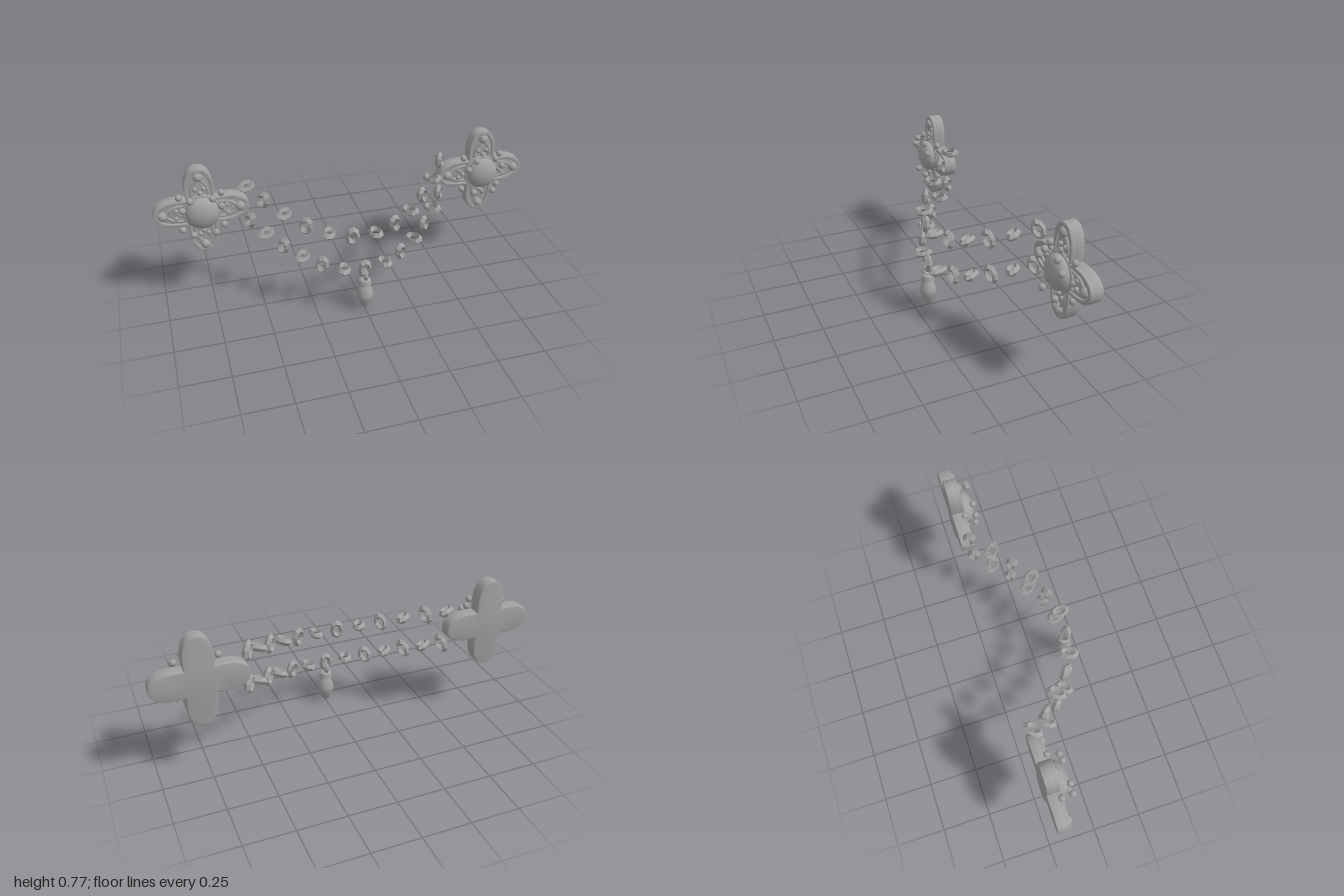
import * as THREE from 'three';
import { toCreasedNormals } from 'three/addons/utils/BufferGeometryUtils.js';

const metal = new THREE.MeshStandardMaterial({ color: 0xa0a0a0 });
metal.name = 'grey metal';

function add(parent, name, geometry, x = 0, y = 0, z = 0) {
  const mesh = new THREE.Mesh(geometry, metal);
  mesh.name = name;
  mesh.position.set(x, y, z);
  parent.add(mesh);
  return mesh;
}

// Four-petalled outline; half a petal is one bezier, the rest is mirrored and turned
function quatrefoil(notch, c1, c2, tip) {
  const half = new THREE.CubicBezierCurve(
    new THREE.Vector2(notch, notch), new THREE.Vector2(...c1),
    new THREE.Vector2(...c2), new THREE.Vector2(0, tip)).getPoints(10);
  const petal = [...half, ...half.slice(1, -1).reverse().map(p => new THREE.Vector2(-p.x, p.y))];
  const points = [];
  const origin = new THREE.Vector2();
  for (let i = 0; i < 4; i++) {
    for (const p of petal) points.push(p.clone().rotateAround(origin, i * Math.PI / 2));
  }
  return points;
}

function extrude(shape, depth, bevel) {
  return toCreasedNormals(new THREE.ExtrudeGeometry(shape, {
    depth: depth - 2 * bevel, bevelThickness: bevel, bevelSize: bevel,
    bevelOffset: -bevel, bevelSegments: 2, curveSegments: 1,
  }).translate(0, 0, bevel), 0.6);
}

function createBrooch() {
  const brooch = new THREE.Group();
  const outer = quatrefoil(0.07, [0.085, 0.16], [0.062, 0.24], 0.24);
  const inner = quatrefoil(0.055, [0.063, 0.15], [0.044, 0.216], 0.216);

  // Backing plate and raised border
  add(brooch, 'backPlate', extrude(new THREE.Shape(outer), 0.056, 0.007), 0, 0, -0.22);
  const border = new THREE.Shape(outer);
  border.holes.push(new THREE.Path(inner));
  add(brooch, 'raisedBorder', extrude(border, 0.024, 0.004), 0, 0, -0.176);

  // Central domed stone in its setting
  const profile = [new THREE.Vector2(0.085, -0.03)];
  for (let i = 0; i <= 8; i++) {
    const a = i / 8 * Math.PI / 2;
    profile.push(new THREE.Vector2(0.085 * Math.cos(a), 0.05 * Math.sin(a)));
  }
  profile[9].x = 0;
  add(brooch, 'dome', new THREE.LatheGeometry(profile, 32).rotateX(Math.PI / 2), 0, 0, -0.138);
  add(brooch, 'domeSetting', new THREE.TorusGeometry(0.088, 0.009, 8, 32), 0, 0, -0.156);

  // Ornament inside each petal
  const stud = new THREE.SphereGeometry(0.025, 12, 8);
  const smallBead = new THREE.SphereGeometry(0.013, 8, 6);
  for (let i = 0; i < 4; i++) {
    const petal = new THREE.Group();
    petal.name = 'petalOrnament';
    petal.rotation.z = i * Math.PI / 2;
    add(petal, 'tipStud', stud, 0, 0.195, -0.158);
    add(petal, 'petalBead', smallBead, 0, 0.108, -0.15);
    for (const s of [-1, 1]) {
      const scroll = new THREE.QuadraticBezierCurve3(
        new THREE.Vector3(s * 0.042, 0.09, -0.159),
        new THREE.Vector3(s * 0.046, 0.145, -0.159),
        new THREE.Vector3(s * 0.008, 0.178, -0.159));
      add(petal, 'scroll', new THREE.TubeGeometry(scroll, 8, 0.008, 6), 0, 0, 0);
      add(petal, 'petalBead', smallBead, s * 0.022, 0.128, -0.156);
    }
    brooch.add(petal);
  }

  // Beads around the stone
  const bead = new THREE.SphereGeometry(0.018, 8, 6);
  for (const s of [-1, 1]) {
    for (const t of [-1, 1]) {
      add(brooch, 'frontBead', bead, s * 0.055, t * 0.097, -0.098);
      add(brooch, 'cornerBead', bead, s * 0.105, t * 0.094, -0.156);
    }
    add(brooch, 'frontBead', bead, s * 0.097, 0.05, -0.098);
  }
  return brooch;
}

// Faceted link: short along the chain (local x), wide across it (local y)
const linkGeometry = toCreasedNormals(
  new THREE.TorusGeometry(0.037, 0.018, 4, 8).scale(0.66, 1, 1), 0.4);

// Links on a hanging curve, every second one turned by a quarter
function createChain(name, xs, low, sag, front, firstUpright) {
  const chain = new THREE.Group();
  chain.name = name;
  xs.forEach((x, i) => {
    const link = add(chain, 'link', linkGeometry, x, low + sag * x * x, front - 1.24 * x * x);
    const along = new THREE.Vector3(1, 2 * sag * x, -2.48 * x).normalize();
    const side = new THREE.Vector3().crossVectors(along, new THREE.Vector3(0, 1, 0)).normalize();
    const up = new THREE.Vector3().crossVectors(side, along);
    const upright = (i % 2 === 0) === firstUpright;
    const basis = upright
      ? new THREE.Matrix4().makeBasis(along, up, side)
      : new THREE.Matrix4().makeBasis(along, side, up.negate());
    link.quaternion.setFromRotationMatrix(basis);
  });
  return chain;
}

function createPendant() {
  const pendant = new THREE.Group();
  pendant.name = 'pendant';
  // Bail ring, collar and pointed drop
  const bail = add(pendant, 'bail', toCreasedNormals(
    new THREE.TorusGeometry(0.026, 0.009, 6, 8), 0.4), 0, 0.215, 0);
  bail.rotation.y = Math.PI / 2;
  const lathe = points => toCreasedNormals(
    new THREE.LatheGeometry(points.map(p => new THREE.Vector2(...p)), 12), 0.55);
  add(pendant, 'collar', lathe([[0, 0.156], [0.036, 0.156], [0.031, 0.183], [0.02, 0.19], [0, 0.19]]));
  add(pendant, 'drop', lathe([[0, 0], [0.022, 0.022], [0.037, 0.06], [0.046, 0.092],
    [0.038, 0.122], [0.028, 0.147], [0.022, 0.157], [0, 0.157]]));
  pendant.position.z = 0.174;
  return pendant;
}

export function createModel() {
  const model = new THREE.Group();
  model.name = 'claspWithChains';

  for (const [name, x] of [['leftBrooch', 0.76], ['rightBrooch', -0.76]]) {
    const brooch = createBrooch();
    brooch.name = name;
    brooch.position.set(x, 0.53, 0);
    model.add(brooch);
  }

  const upper = [-0.525, -0.455, -0.37, -0.275, -0.175, -0.06, 0.06, 0.17, 0.27, 0.36, 0.445, 0.52];
  const lower = [-0.52, -0.455, -0.38, -0.3, -0.21, -0.108, 0, 0.108, 0.21, 0.3, 0.38, 0.455, 0.52];
  model.add(createChain('upperChain', upper, 0.447, 0.65, 0.162, false));
  model.add(createChain('lowerChain', lower, 0.253, 0.67, 0.174, true));
  model.add(createPendant());
  return model;
}
